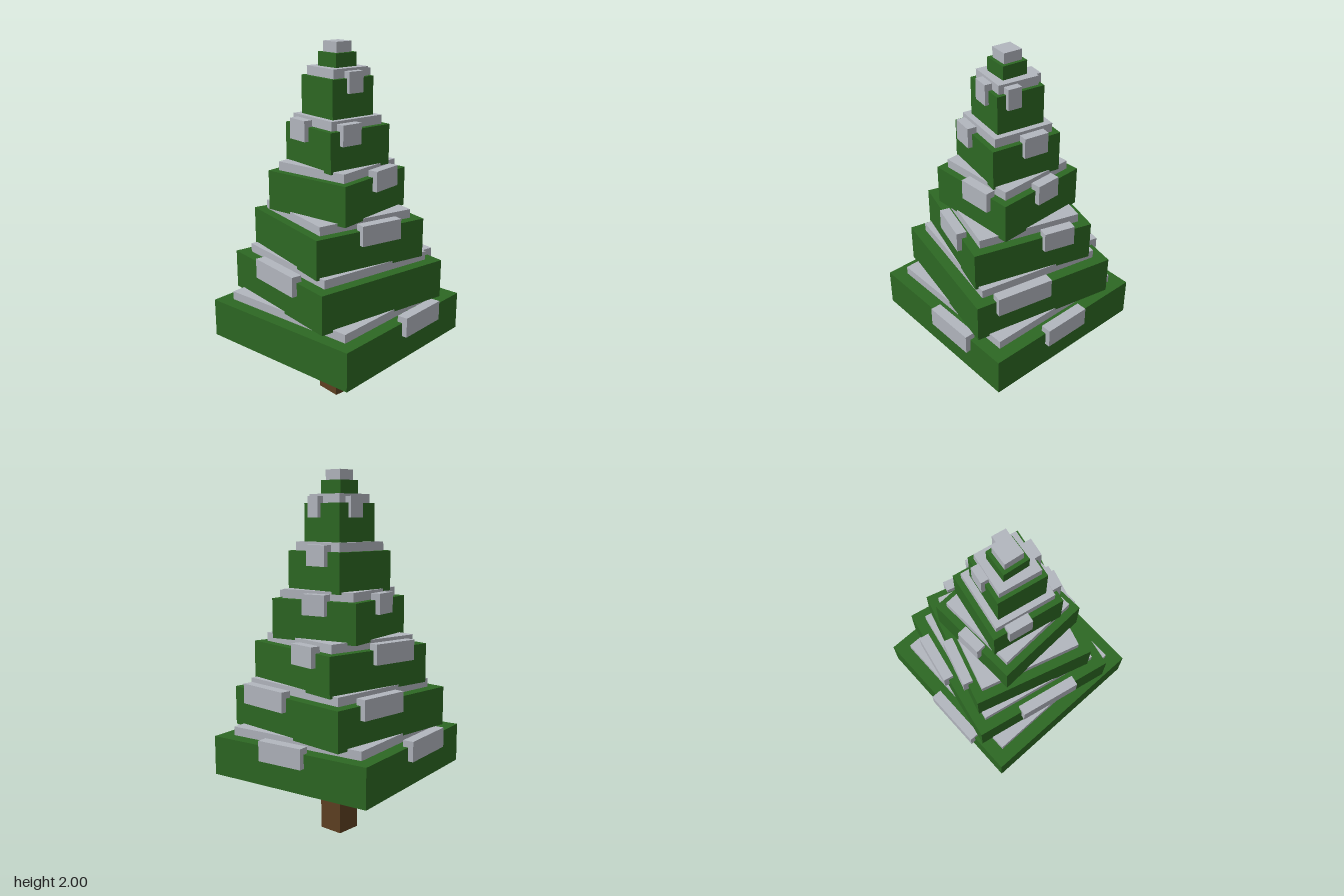
import * as THREE from 'three';

export function createModel() {
  const tree = new THREE.Group();
  tree.name = 'snowyPineTree';

  const makeMaterial = (name, color) => {
    const m = new THREE.MeshStandardMaterial({ color });
    m.name = name;
    return m;
  };
  const bark = makeMaterial('bark brown', 0x5e3f21);
  const needles = makeMaterial('needle green', 0x2d6823);
  const snow = makeMaterial('snow grey', 0xb2b6be);

  // Box given by its size, bottom height and horizontal centre
  const addBox = (parent, name, material, [w, h, d], bottom, x = 0, z = 0) => {
    const mesh = new THREE.Mesh(new THREE.BoxGeometry(w, h, d), material);
    mesh.name = name;
    mesh.position.set(x, bottom + h / 2, z);
    parent.add(mesh);
    return mesh;
  };

  // Trunk: two slightly shifted blocks
  addBox(tree, 'lowerTrunk', bark, [0.145, 0.235, 0.145], 0, -0.003, 0.005);
  addBox(tree, 'upperTrunk', bark, [0.147, 0.125, 0.145], 0.235, 0.005, 0.007);

  // Tiers: half width, turn, thickness of the snow clumps,
  // and clumps as [side, offset along that side, length]
  const tiers = [
    { half: 0.489, turn: 0.133, thick: 0.06,
      clumps: [['front', 0.111, 0.3], ['back', -0.087, 0.343], ['right', 0.02, 0.272]] },
    { half: 0.408, turn: -0.067, thick: 0.058,
      clumps: [['left', 0.02, 0.343], ['right', 0.139, 0.318], ['back', 0.104, 0.29]] },
    { half: 0.335, turn: -0.155, thick: 0.055,
      clumps: [['front', 0.046, 0.24], ['back', -0.086, 0.265], ['right', -0.134, 0.172]] },
    { half: 0.261, turn: 0.175, thick: 0.055,
      clumps: [['front', 0.061, 0.185], ['back', -0.006, 0.14], ['right', -0.018, 0.14]] },
    { half: 0.195, turn: -0.053, thick: 0.05,
      clumps: [['left', -0.057, 0.128], ['right', -0.04, 0.135], ['front', -0.075, 0.12]] },
    { half: 0.133, turn: -0.055, thick: 0.042,
      clumps: [['front', 0.004, 0.093], ['back', 0.023, 0.09], ['right', 0.046, 0.076]] },
  ];

  tiers.forEach(({ half, turn, thick, clumps }, i) => {
    const tier = new THREE.Group();
    tier.name = `tier${i + 1}`;
    tier.position.y = 0.36 + 0.25 * i;
    tier.rotation.y = turn;
    tree.add(tier);

    addBox(tier, 'branches', needles, [2 * half, 0.215, 2 * half], 0);
    const layer = 2 * half * 0.847;
    addBox(tier, 'snowLayer', snow, [layer, 0.048, layer], 0.215);

    // Snow clumps hanging over the rim
    for (const [side, offset, length] of clumps) {
      const sign = side === 'front' || side === 'right' ? 1 : -1;
      if (side === 'front' || side === 'back') {
        addBox(tier, `${side}SnowClump`, snow, [length, 0.11, thick], 0.14, offset, sign * half);
      } else {
        addBox(tier, `${side}SnowClump`, snow, [thick, 0.11, length], 0.14, sign * half, offset);
      }
    }
  });

  // Tip with its snow cap
  addBox(tree, 'treeTip', needles, [0.14, 0.085, 0.14], 1.86);
  addBox(tree, 'snowCap', snow, [0.103, 0.055, 0.103], 1.945);

  return tree;
}
